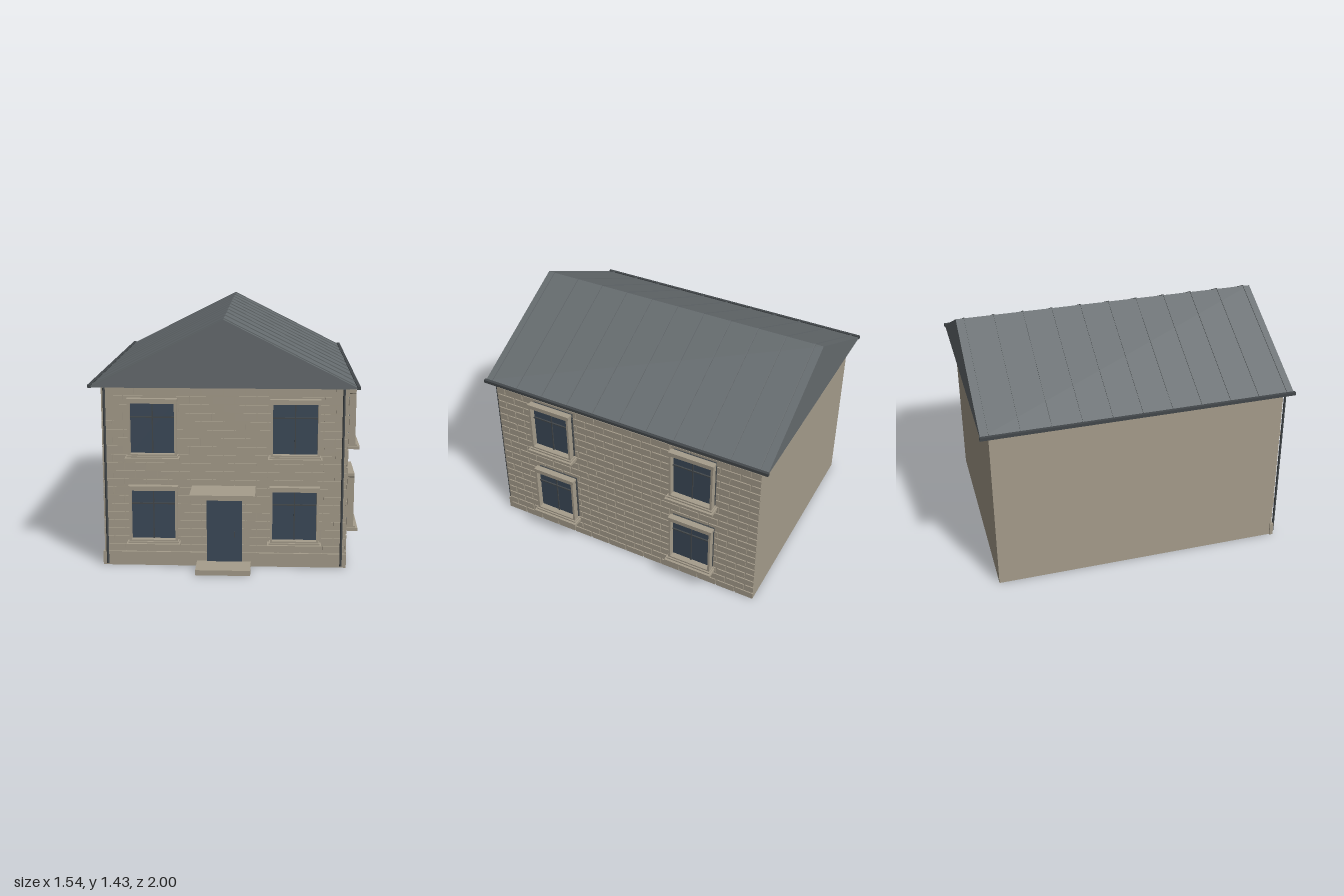
import * as THREE from 'three';
import { mergeGeometries } from 'three/addons/utils/BufferGeometryUtils.js';

const mat = (name, color) => {
  const m = new THREE.MeshStandardMaterial({ color });
  m.name = name;
  return m;
};

export function createModel() {
  const stone = mat('stone', 0xa69d8c);
  const slate = mat('roofMetal', 0x656b6e);
  const dark = mat('darkMetal', 0x43484b);
  const glass = mat('blueGlass', 0x3c4a59);

  const house = new THREE.Group();
  house.name = 'house';

  const add = (parent, name, geo, material) => {
    const m = new THREE.Mesh(geo, material);
    m.name = name;
    parent.add(m);
    return m;
  };
  // Box geometry from its minimum and maximum corners
  const span = (x0, x1, y0, y1, z0, z1) =>
    new THREE.BoxGeometry(x1 - x0, y1 - y0, z1 - z0)
      .translate((x0 + x1) / 2, (y0 + y1) / 2, (z0 + z1) / 2);
  const box = (parent, name, material, ...s) => add(parent, name, span(...s), material);

  // Main block and front plinth
  box(house, 'walls', stone, -0.705, 0.673, 0, 1.042, -0.94, 0.793);
  box(house, 'plinth', stone, -0.713, 0.68, 0, 0.08, 0.79, 0.812);

  // Shallow running-bond masonry, laid facing +z
  const masonry = (u0, u1, y0, y1, rows, length, gap) => {
    const parts = [];
    const h = (y1 - y0) / rows;
    for (let r = 0; r < rows; r++) {
      for (let u = u0 - (r % 2) * length / 2; u < u1 - 0.01; u += length) {
        const a = Math.max(u, u0), b = Math.min(u + length - gap, u1);
        if (b - a > 0.01) parts.push(span(a, b, y0 + r * h, y0 + (r + 1) * h - gap, 0, 0.007));
      }
    }
    return mergeGeometries(parts);
  };
  add(house, 'frontMasonry', masonry(-0.705, 0.68, 0.08, 1.042, 20, 0.125, 0.005), stone)
    .position.z = 0.793;
  const side = add(house, 'sideMasonry', masonry(-0.8, 0.94, 0, 1.042, 21, 0.125, 0.008), stone);
  side.position.x = 0.673;
  side.rotation.y = Math.PI / 2;

  // Window facing +z; origin at the middle of the sill top, on the wall plane
  const makeWindow = () => {
    const g = new THREE.Group();
    g.name = 'window';
    box(g, 'windowBacking', dark, -0.134, 0.134, 0, 0.315, -0.004, 0.016);
    box(g, 'pane', glass, -0.126, 0.126, 0.012, 0.305, 0.016, 0.024);
    // Stone surround with an opening and small ears at the head
    const s = new THREE.Shape();
    s.moveTo(-0.137, 0);
    s.lineTo(0.137, 0);
    s.lineTo(0.137, 0.305);
    s.lineTo(0.141, 0.31);
    s.lineTo(0.141, 0.328);
    s.lineTo(-0.141, 0.328);
    s.lineTo(-0.141, 0.31);
    s.lineTo(-0.137, 0.305);
    s.closePath();
    const hole = new THREE.Path();
    hole.moveTo(-0.124, 0.014);
    hole.lineTo(-0.124, 0.302);
    hole.lineTo(0.124, 0.302);
    hole.lineTo(0.124, 0.014);
    hole.closePath();
    s.holes.push(hole);
    add(g, 'surround', new THREE.ExtrudeGeometry(s, { depth: 0.038, bevelEnabled: false }), stone)
      .position.z = 0.022;
    // Glazing bars
    box(g, 'mullion', dark, -0.003, 0.003, 0.014, 0.302, 0.022, 0.031);
    box(g, 'transom', dark, -0.124, 0.124, 0.217, 0.224, 0.022, 0.033);
    // Stepped sill
    box(g, 'sillUpper', stone, -0.143, 0.143, -0.004, 0.005, 0.012, 0.07);
    box(g, 'sill', stone, -0.152, 0.152, -0.021, -0.004, 0.014, 0.085);
    return g;
  };
  for (const y of [0.155, 0.655]) {
    for (const x of [-0.415, 0.382]) {
      const w = makeWindow();
      w.position.set(x, y, 0.8);
      house.add(w);
    }
    for (const z of [0.397, -0.54]) {
      const w = makeWindow();
      w.position.set(0.68, y, z);
      w.rotation.y = Math.PI / 2;
      house.add(w);
    }
  }

  // Entrance
  box(house, 'door', glass, -0.115, 0.085, 0.03, 0.42, 0.79, 0.818);
  box(house, 'doorHandle', dark, 0.041, 0.047, 0.178, 0.212, 0.816, 0.828);
  box(house, 'doorstep', stone, -0.172, 0.137, 0, 0.03, 0.79, 0.965);
  box(house, 'canopy', stone, -0.198, 0.163, 0.447, 0.475, 0.79, 1.0);

  // Gable roof, a solid prism along z
  const ridge = { x: -0.018, y: 1.422 };
  const eaves = [{ x: -0.757, y: 1.05 }, { x: 0.721, y: 1.05 }];
  const roof = new THREE.Shape();
  roof.moveTo(-0.757, 1.042);
  roof.lineTo(0.721, 1.042);
  roof.lineTo(eaves[1].x, eaves[1].y);
  roof.lineTo(ridge.x, ridge.y);
  roof.lineTo(eaves[0].x, eaves[0].y);
  roof.closePath();
  add(house, 'roof', new THREE.ExtrudeGeometry(roof, { depth: 1.83, bevelEnabled: false }), slate)
    .position.z = -0.99;

  // Standing seams on both slopes, gutters and downpipes
  for (const [i, e] of eaves.entries()) {
    const dx = e.x - ridge.x, dy = e.y - ridge.y;
    for (let k = 0; k < 11; k++) {
      const seam = add(house, 'roofSeam',
        new THREE.BoxGeometry(Math.hypot(dx, dy), 0.01, 0.006), slate);
      seam.position.set((e.x + ridge.x) / 2, (e.y + ridge.y) / 2, -0.94 + k * 0.174);
      seam.rotation.z = Math.atan2(dy, dx);
    }
    const out = Math.sign(dx);
    const gx = e.x + out * 0.005;
    box(house, 'gutter', dark, gx - 0.009, gx + 0.009, 1.039, 1.058, -0.995, 0.845);
    const pipe = add(house, 'downpipe', new THREE.CylinderGeometry(0.007, 0.007, 1.025, 10), dark);
    pipe.position.set(i ? 0.649 : -0.685, 0.525, 0.822);
  }
  return house;
}
